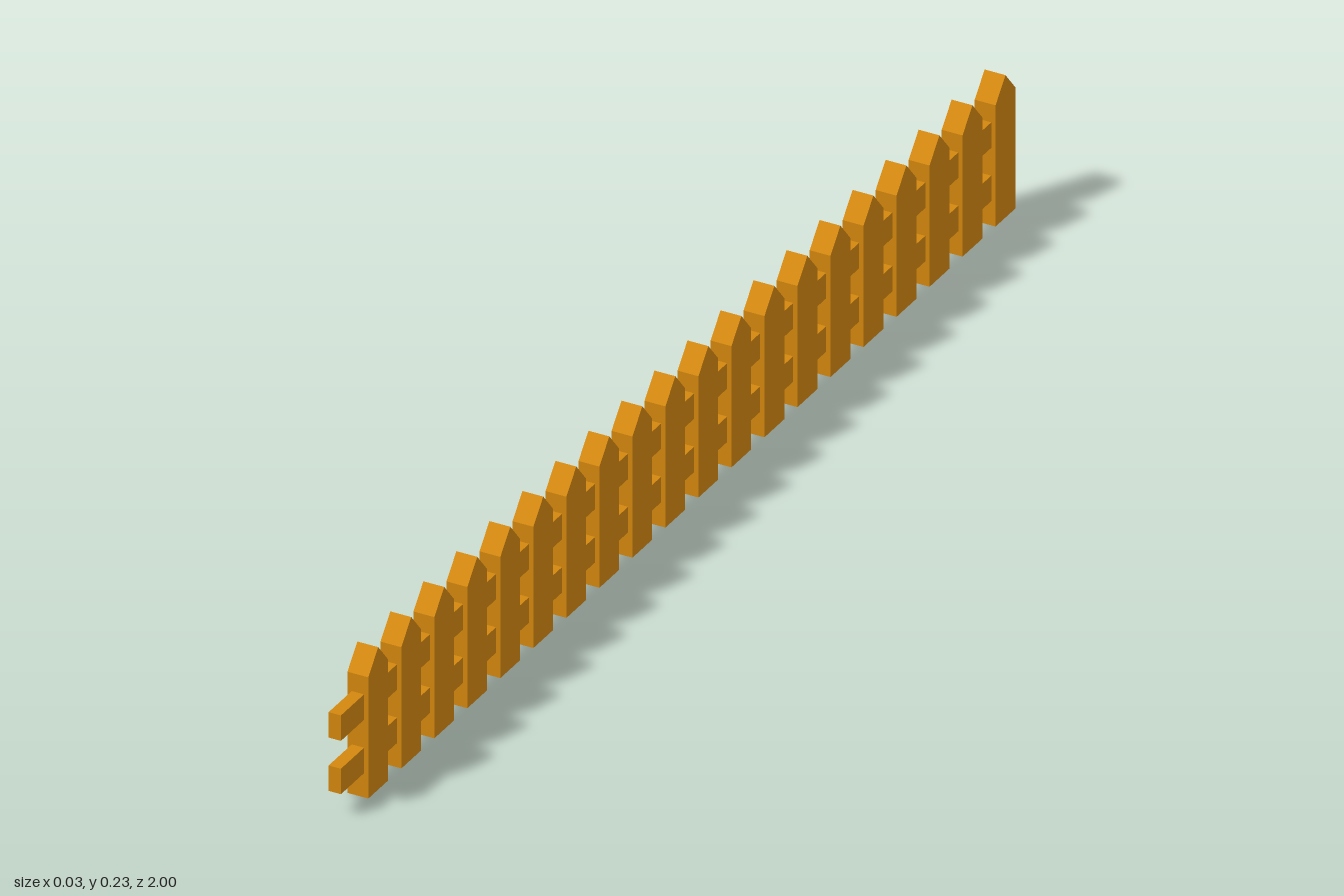
import * as THREE from 'three';

export function createModel() {
  const fence = new THREE.Group();
  fence.name = 'picketFence';

  const wood = new THREE.MeshStandardMaterial({ color: 0xd4880f });
  wood.name = 'orange wood';

  const COUNT = 20, WIDTH = 0.059, THICK = 0.034;
  const SHOULDER = 0.2, TIP = 0.235;
  const FIRST = 0.9015, LAST = -1 + WIDTH / 2;

  // Pointed picket outline, extruded and turned so its broad sides face x
  const h = WIDTH / 2;
  const outline = new THREE.Shape([
    new THREE.Vector2(-h, 0),
    new THREE.Vector2(h, 0),
    new THREE.Vector2(h, SHOULDER),
    new THREE.Vector2(0, TIP),
    new THREE.Vector2(-h, SHOULDER),
  ]);
  const picketGeometry = new THREE.ExtrudeGeometry(outline, { depth: THICK, bevelEnabled: false });
  picketGeometry.translate(0, 0, -THICK / 2);
  picketGeometry.rotateY(Math.PI / 2);

  for (let i = 0; i < COUNT; i++) {
    const picket = new THREE.Mesh(picketGeometry, wood);
    picket.name = `picket${i + 1}`;
    picket.position.z = THREE.MathUtils.lerp(FIRST, LAST, i / (COUNT - 1));
    fence.add(picket);
  }

  // Two rails through the pickets, overhanging at the front end only
  const railEnd = LAST;
  const railGeometry = new THREE.BoxGeometry(0.02, 0.042, 1 - railEnd);
  for (const [name, y] of [['lowerRail', 0.061], ['upperRail', 0.149]]) {
    const rail = new THREE.Mesh(railGeometry, wood);
    rail.name = name;
    rail.position.set(0, y, (1 + railEnd) / 2);
    fence.add(rail);
  }

  return fence;
}
